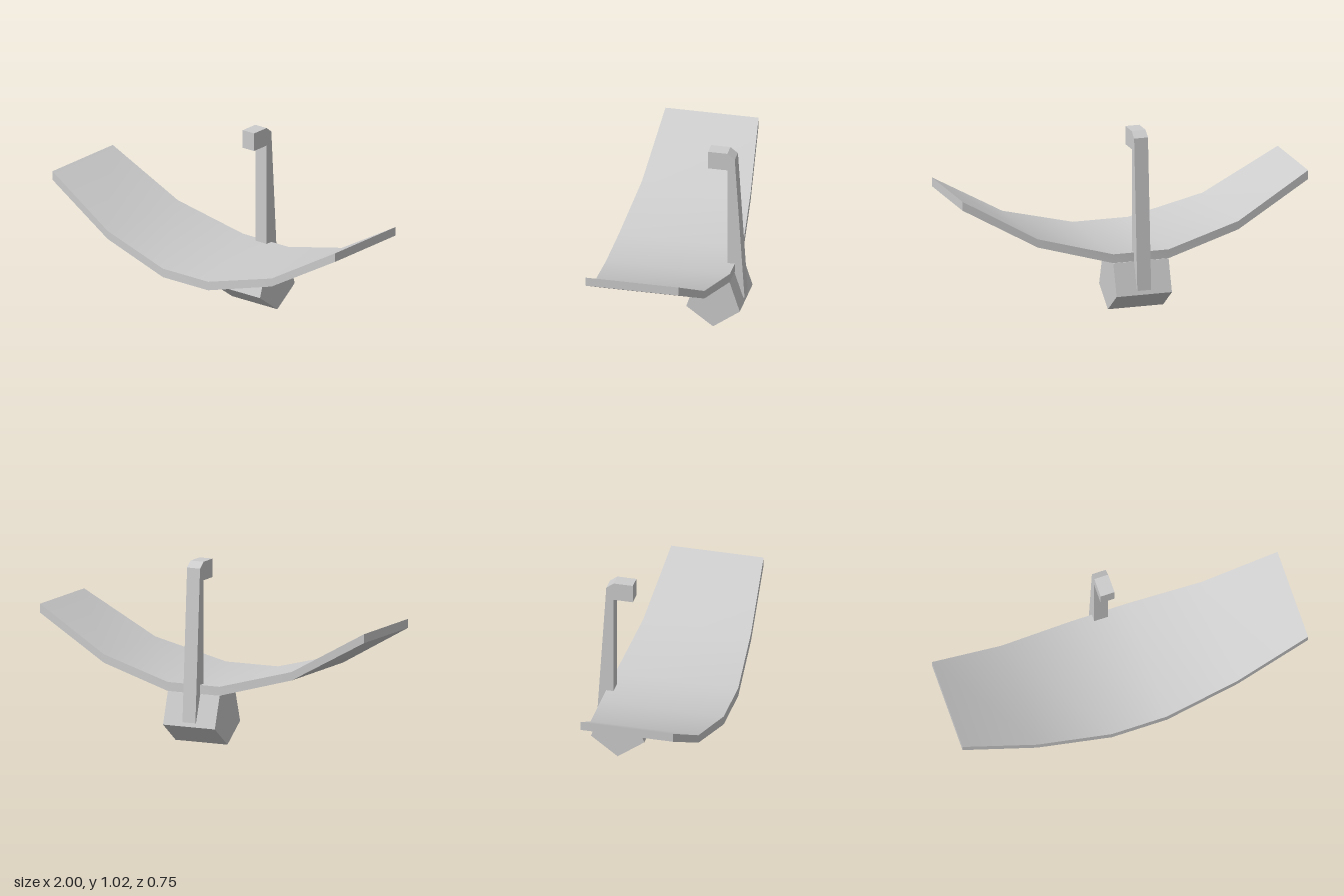
import * as THREE from 'three';
import { toCreasedNormals } from 'three/addons/utils/BufferGeometryUtils.js';

const grey = new THREE.MeshStandardMaterial({ color: 0xcccccc });
grey.name = 'lightGrey';

function addPart(group, name, geometry) {
  const mesh = new THREE.Mesh(geometry, grey);
  mesh.name = name;
  group.add(mesh);
}

// Curved plate lofted through four-cornered sections along x
function plateGeometry() {
  const half = [ // x, top y, bottom y, back z, front z
    [0.16, 0.34, 0.29, -0.32, 0.375],
    [0.58, 0.45, 0.403, -0.27, 0.34],
    [1, 0.688, 0.638, -0.22, 0.303],
  ];
  const mirrored = half.map(([x, ...rest]) => [-x, ...rest]).reverse();
  const sections = [...mirrored, ...half];
  const positions = [];
  const index = [];
  for (const [x, top, bottom, back, front] of sections) {
    positions.push(x, top, back, x, top, front, x, bottom, front, x, bottom, back);
  }
  for (let i = 0; i < sections.length - 1; i++) {
    for (let j = 0; j < 4; j++) {
      const a = i * 4 + j;
      const b = i * 4 + (j + 1) % 4;
      index.push(a, b, b + 4, a, b + 4, a + 4);
    }
  }
  // End caps
  const e = (sections.length - 1) * 4;
  index.push(0, 2, 1, 0, 3, 2, e, e + 1, e + 2, e, e + 2, e + 3);
  const geometry = new THREE.BufferGeometry();
  geometry.setAttribute('position', new THREE.Float32BufferAttribute(positions, 3));
  geometry.setIndex(index);
  return toCreasedNormals(geometry, 0.6);
}

// Hooked post: side outline in (z, y), extruded across x
function postGeometry() {
  const outline = [
    [-0.28, 0.135], [-0.28, 0.917], [-0.17, 0.917], [-0.17, 1.02],
    [-0.278, 1.02], [-0.32, 0.988], [-0.375, 0.135],
  ];
  const shape = new THREE.Shape(outline.map(([z, y]) => new THREE.Vector2(-z, y)));
  const geometry = new THREE.ExtrudeGeometry(shape, { depth: 0.08, bevelEnabled: false });
  return geometry.rotateY(Math.PI / 2).translate(-0.04, 0, 0);
}

// Five-sided block lying across x, resting on one edge
function blockGeometry() {
  const geometry = new THREE.CylinderGeometry(0.158, 0.158, 0.32, 5, 1, false, -Math.PI / 2);
  geometry.rotateZ(Math.PI / 2).translate(0, 0.16, -0.225);
  return toCreasedNormals(geometry, 0.3);
}

export function createModel() {
  const model = new THREE.Group();
  model.name = 'hookedCurvedPlate';
  addPart(model, 'curvedPlate', plateGeometry());
  addPart(model, 'hookedPost', postGeometry());
  addPart(model, 'pentagonBlock', blockGeometry());
  return model;
}
